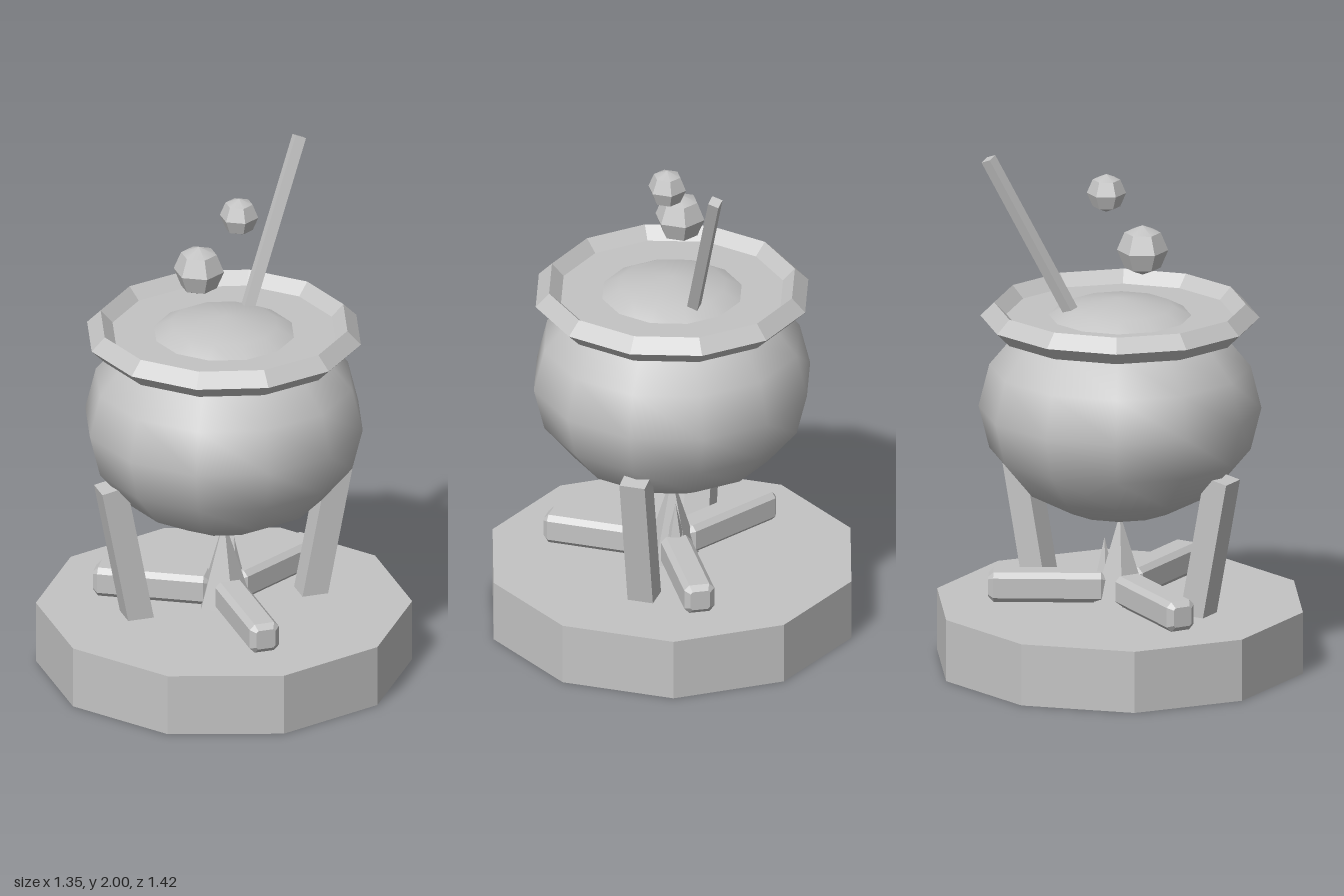
import * as THREE from 'three';
import { toCreasedNormals } from 'three/addons/utils/BufferGeometryUtils.js';

const CREASE = 0.5; // keeps facets sharp above about 29 degrees

export function createModel() {
  const model = new THREE.Group();
  model.name = 'cauldron';
  const grey = new THREE.MeshStandardMaterial({ color: 0xc4c4c4 });
  grey.name = 'grey';

  function add(name, geometry, x = 0, y = 0, z = 0, crease = CREASE) {
    const geo = crease === null ? geometry : toCreasedNormals(geometry, crease);
    const mesh = new THREE.Mesh(geo, grey);
    mesh.name = name;
    mesh.position.set(x, y, z);
    model.add(mesh);
    return mesh;
  }

  // Ten-sided stone base
  add('base', new THREE.CylinderGeometry(0.71, 0.71, 0.24, 10), 0, 0.12, 0);

  // Squashed smooth pot; its top bulges through the liquid
  const pot = new THREE.SphereGeometry(0.534, 12, 8);
  pot.scale(1, 0.8, 1);
  add('pot', pot, 0, 1, 0, null);

  // Diamond-section rim and the liquid surface inside it
  const rim = new THREE.TorusGeometry(0.475, 0.052, 4, 12);
  rim.rotateX(-Math.PI / 2);
  add('rim', rim, 0, 1.354, 0, 0.1);
  add('liquid', new THREE.CylinderGeometry(0.435, 0.435, 0.02, 12), 0, 1.35, 0);

  // Two leaning legs
  for (const side of [-1, 1]) {
    const leg = add(side > 0 ? 'leftLeg' : 'rightLeg',
      new THREE.BoxGeometry(0.1, 0.6, 0.1), side * 0.395, 0.491, 0);
    leg.rotation.z = -side * 0.19;
  }

  // Three chamfered logs around the fire
  const h = 0.038, c = 0.008, bevel = 0.02;
  const outline = new THREE.Shape([
    [h, -h + c], [h, h - c], [h - c, h], [-h + c, h],
    [-h, h - c], [-h, -h + c], [-h + c, -h], [h - c, -h],
  ].map(([x, y]) => new THREE.Vector2(x, y)));
  const start = 0.05, end = 0.497;
  for (let i = 0; i < 3; i++) {
    const geo = new THREE.ExtrudeGeometry(outline, {
      depth: end - start - 2 * bevel, steps: 1,
      bevelEnabled: true, bevelThickness: bevel, bevelSize: bevel, bevelSegments: 1,
    });
    geo.translate(0, 0, start + bevel);
    add('log' + (i + 1), geo, 0, 0.299, 0).rotation.y = i * Math.PI * 2 / 3;
  }

  // Pointed flames
  add('mainFlame', new THREE.ConeGeometry(0.11, 0.35, 5), 0, 0.405, 0);
  add('smallFlame', new THREE.ConeGeometry(0.06, 0.26, 5), 0.05, 0.36, -0.03);

  // Stirring stick leaning out over the back left of the rim
  const dir = new THREE.Vector3(0.388, 0.888, -0.249).normalize();
  const length = 0.8;
  const middle = new THREE.Vector3(0.4, 1.985, -0.298).addScaledVector(dir, -length / 2);
  add('stick', new THREE.BoxGeometry(0.042, length, 0.042), middle.x, middle.y, middle.z)
    .rotation.set(-0.273, 0, -0.398);

  // Floating bubbles
  for (const [name, r, x, y] of [['largeBubble', 0.097, -0.1, 1.63], ['smallBubble', 0.074, 0.06, 1.83]]) {
    const bubble = new THREE.SphereGeometry(r, 6, 4);
    bubble.rotateY(Math.PI / 2);
    add(name, bubble, x, y, 0);
  }

  return model;
}
